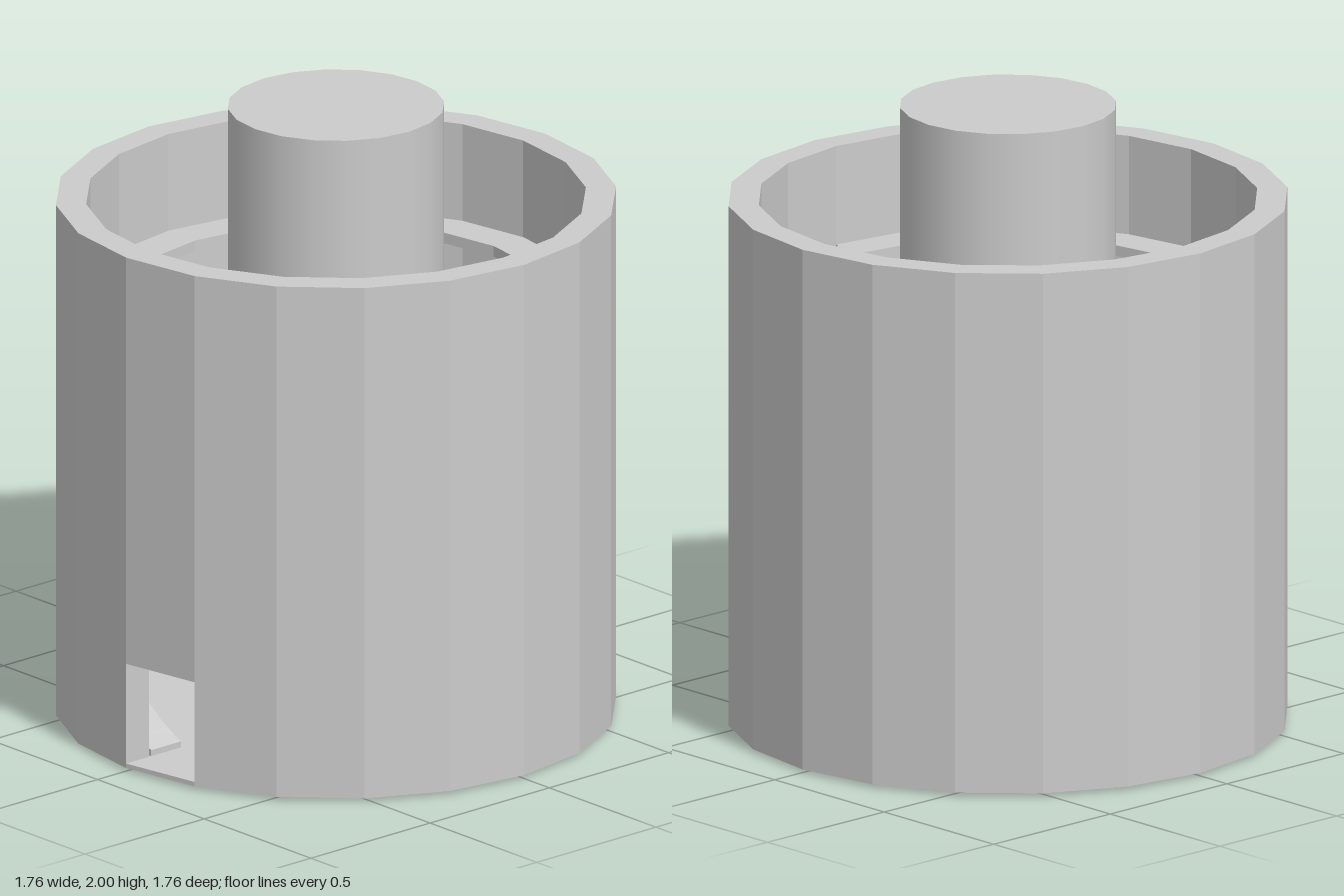
import * as THREE from 'three';

const SIDES = 20;
const STEP = (Math.PI * 2) / SIDES;
const mat = new THREE.MeshStandardMaterial({ color: 0xcccccc, flatShading: true, side: THREE.DoubleSide });
const smooth = new THREE.MeshStandardMaterial({ color: 0xcccccc });

// Points on a circle from angle a0 to a1 (counter-clockwise seen from above, starting at +x)
function arcPoints(r, a0, a1, n) {
  return Array.from({ length: n + 1 }, (_, i) => {
    const a = a0 + ((a1 - a0) * i) / n;
    return new THREE.Vector2(r * Math.cos(a), r * Math.sin(a));
  });
}

// Upright extrusion of a flat shape between two heights
function slab(shape, y0, y1) {
  const g = new THREE.ExtrudeGeometry(shape, { depth: y1 - y0, bevelEnabled: false });
  g.rotateX(-Math.PI / 2);
  g.translate(0, y0, 0);
  return g;
}

// Closed ring
function ring(ri, ro, y0, y1) {
  const shape = new THREE.Shape(arcPoints(ro, 0, STEP * (SIDES - 1), SIDES - 1));
  shape.holes.push(new THREE.Path(arcPoints(ri, 0, STEP * (SIDES - 1), SIDES - 1).reverse()));
  return slab(shape, y0, y1);
}

// Ring with a gap, running from a0 to a1
function openRing(ri, ro, a0, a1, n, y0, y1) {
  const pts = [...arcPoints(ro, a0, a1, n), ...arcPoints(ri, a0, a1, n).reverse()];
  return slab(new THREE.Shape(pts), y0, y1);
}

export function createModel() {
  const group = new THREE.Group();
  const add = (name, geometry, material = mat) => {
    const mesh = new THREE.Mesh(geometry, material);
    mesh.name = name;
    group.add(mesh);
  };

  const outer = 0.88, inner = 0.785, ledgeIn = 0.66;
  const floorY = 0.025, ledgeY = 1.38, windowTop = 0.355;

  // Floor plate
  add('floor', slab(new THREE.Shape(arcPoints(outer, 0, STEP * (SIDES - 1), SIDES - 1)), 0.01, floorY));

  // Wall: one facet is left out near the floor as the exit window
  add('upperWall', ring(inner, outer, windowTop, 1.7));
  add('lowerWall', openRing(inner, outer, STEP * 16, STEP * 35, 19, floorY, windowTop));

  // Inner ledge with a one-facet entry gap
  add('ledge', openRing(ledgeIn, inner, STEP, STEP * 20, 19, ledgeY - 0.035, ledgeY));

  // Spiral ramp going down from the entry gap to the exit window
  const turn = Math.PI * 1.5;
  const ramp = openRing(0.65, 0.775, 0, turn, 90, -0.03, 0);
  const p = ramp.attributes.position;
  for (let i = 0; i < p.count; i++) {
    let a = Math.atan2(-p.getZ(i), p.getX(i));
    if (a < -0.01) a += Math.PI * 2;
    p.setY(i, p.getY(i) + THREE.MathUtils.lerp(ledgeY, floorY + 0.02, Math.max(a, 0) / turn));
  }
  ramp.computeVertexNormals();
  add('spiralRamp', ramp);

  // Central post
  const post = new THREE.CylinderGeometry(0.34, 0.34, 2, SIDES);
  post.translate(0, 1, 0);
  add('centralPost', post, smooth);

  return group;
}
